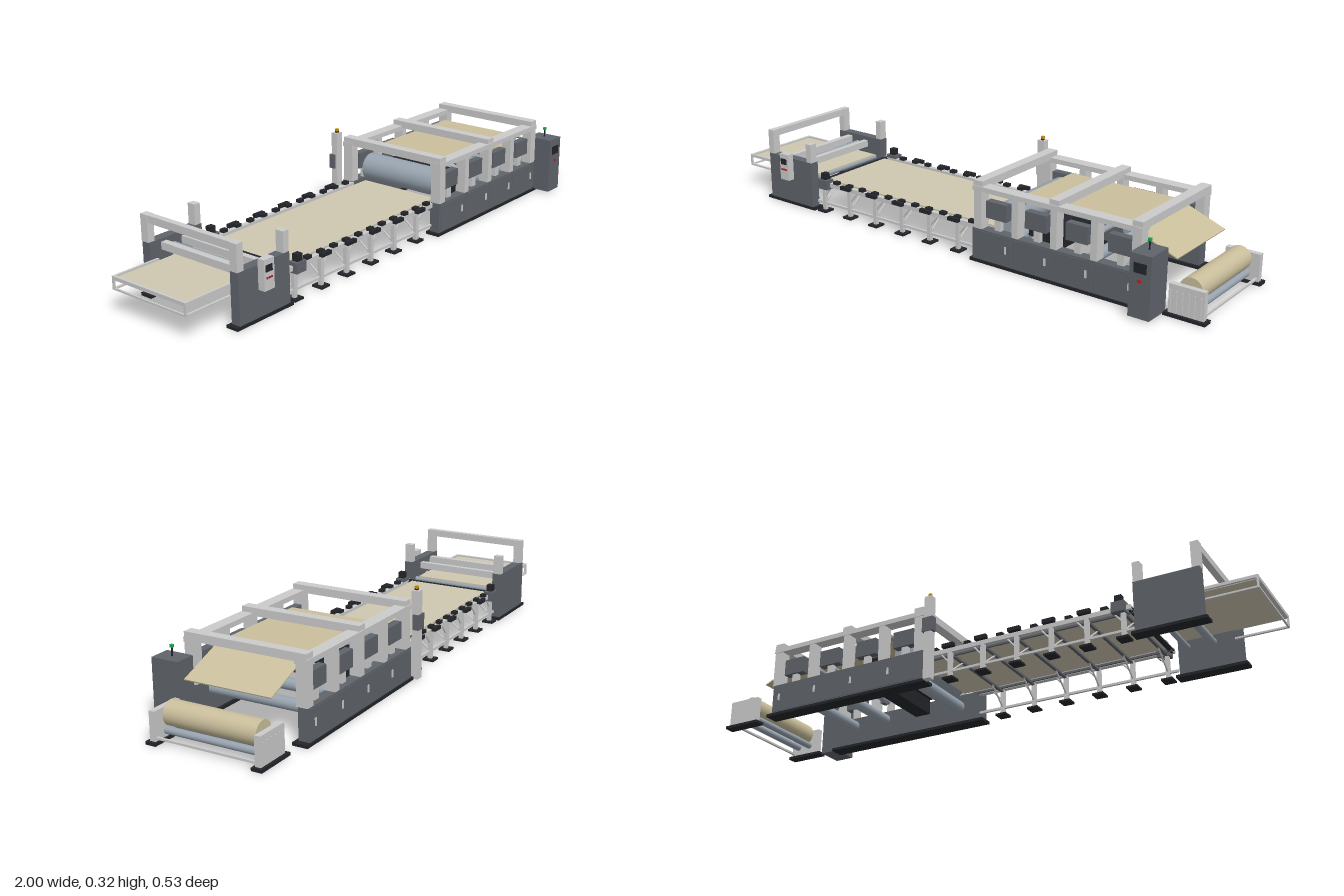
import * as THREE from 'three';

const mat = (color, side = THREE.FrontSide) => new THREE.MeshStandardMaterial({ color, side });
const LIGHT = mat(0xcccccc), STEEL = mat(0x5f646b), DARK = mat(0x23252a), ROLL = mat(0x98a4b0);
const SHEET = mat(0xcfc7b1), FILM = mat(0xcabf9c, THREE.DoubleSide), RED = mat(0xc02020), GREEN = mat(0x18b050), AMBER = mat(0xd09010);
const ZC = -0.024; // centre line of the whole production line

export function createModel() {
  const root = new THREE.Group();
  let group = root;
  const section = (name) => { group = new THREE.Group(); group.name = name; root.add(group); };
  const add = (name, geo, m) => {
    const mesh = new THREE.Mesh(geo, m);
    mesh.name = name;
    group.add(mesh);
    return mesh;
  };
  // box given by its minimum and maximum on each axis
  const box = (name, x0, x1, y0, y1, z0, z1, m = LIGHT) => {
    const b = add(name, new THREE.BoxGeometry(x1 - x0, y1 - y0, z1 - z0), m);
    b.position.set((x0 + x1) / 2, (y0 + y1) / 2, (z0 + z1) / 2);
    return b;
  };
  // the same box on both sides of the line; distances measured outward from the centre line
  const pair = (name, x0, x1, y0, y1, d0, d1, m) => {
    box(name, x0, x1, y0, y1, ZC + d0, ZC + d1, m);
    box(name, x0, x1, y0, y1, ZC - d1, ZC - d0, m);
  };
  // roller across the line
  const roller = (name, x, y, r, half, m = ROLL) => {
    const c = add(name, new THREE.CylinderGeometry(r, r, half * 2, 32), m);
    c.rotation.x = Math.PI / 2;
    c.position.set(x, y, ZC);
  };
  // thin strut between two points
  const strut = (name, a, b, r, m = LIGHT) => {
    const p = new THREE.Vector3(...a), q = new THREE.Vector3(...b);
    const s = add(name, new THREE.CylinderGeometry(r, r, p.distanceTo(q), 8), m);
    s.position.copy(p).add(q).multiplyScalar(0.5);
    s.quaternion.setFromUnitVectors(new THREE.Vector3(0, 1, 0), q.sub(p).normalize());
  };

  // Delivery table at the far end
  section('deliveryTable');
  box('tableSheet', -0.99, -0.63, 0.118, 0.124, ZC - 0.15, ZC + 0.15, SHEET);
  pair('tableTopRail', -1, -0.82, 0.12, 0.13, 0.15, 0.158);
  pair('tableLowRail', -1, -0.82, 0.086, 0.092, 0.15, 0.158);
  pair('tableEndPost', -1, -0.994, 0.086, 0.13, 0.15, 0.158);
  box('tableEndBar', -1, -0.99, 0.118, 0.13, ZC - 0.155, ZC + 0.155);
  box('tableLowBar', -1, -0.994, 0.086, 0.092, ZC - 0.155, ZC + 0.155);

  // Cutting station
  section('cuttingStation');
  pair('cutterBase', -0.85, -0.605, 0, 0.01, 0.165, 0.21, DARK);
  pair('cutterCabinet', -0.835, -0.617, 0.01, 0.18, 0.172, 0.206, STEEL);
  pair('cutterTallPost', -0.838, -0.812, 0.18, 0.27, 0.175, 0.205);
  pair('cutterShortPost', -0.642, -0.618, 0.18, 0.25, 0.175, 0.205);
  box('cutterTopBeam', -0.836, -0.814, 0.245, 0.27, ZC - 0.18, ZC + 0.18);
  box('cutterBladeBeam', -0.79, -0.767, 0.145, 0.17, ZC - 0.175, ZC + 0.175);
  box('cutterGuideBeam', -0.705, -0.685, 0.14, 0.165, ZC - 0.175, ZC + 0.175);
  roller('pinchRollerUpper', -0.738, 0.142, 0.014, 0.175);
  roller('pinchRollerLower', -0.738, 0.103, 0.014, 0.175);
  roller('cutterShaft', -0.65, 0.105, 0.01, 0.175);
  box('cutterPanel', -0.754, -0.711, 0.1, 0.2, 0.182, 0.208);
  box('cutterScreen', -0.748, -0.72, 0.16, 0.182, 0.208, 0.21, DARK);
  for (const x of [-0.743, -0.733, -0.723]) box('cutterButton', x - 0.003, x + 0.003, 0.138, 0.144, 0.208, 0.211, RED);

  // Cooling conveyor
  section('coolingConveyor');
  box('conveyorSheet', -0.6, 0.2, 0.108, 0.114, ZC - 0.157, ZC + 0.157, SHEET);
  pair('conveyorRail', -0.6, 0.15, 0.1, 0.116, 0.172, 0.19);
  pair('conveyorInnerRail', -0.6, 0.15, 0.098, 0.106, 0.157, 0.164, STEEL);
  pair('conveyorLowRail', -0.61, 0.15, 0.028, 0.036, 0.178, 0.186);
  for (let i = 0; i < 6; i++) {
    const x = -0.573 + i * 0.1257;
    pair('conveyorLeg', x - 0.007, x + 0.007, 0.006, 0.1, 0.176, 0.19);
    pair('conveyorFoot', x - 0.02, x + 0.02, 0, 0.007, 0.162, 0.204, DARK);
    box('crossTie', x - 0.005, x + 0.005, 0.092, 0.1, ZC - 0.18, ZC + 0.18, STEEL);
    for (const s of [-1, 1]) {
      strut('legBrace', [x, 0.035, ZC + s * 0.18], [x, 0.096, ZC + s * 0.1], 0.003);
      strut('sideBrace', [x, 0.06, ZC + s * 0.182], [x + 0.035, 0.1, ZC + s * 0.182], 0.003);
    }
  }
  for (let i = 0; i < 11; i++) {
    const x = -0.51 + i * 0.0625;
    pair('railClamp', x - 0.011, x + 0.011, 0.116, 0.127, 0.174, 0.192, DARK);
    if (i % 2) pair('clampHandle', x - 0.022, x + 0.022, 0.112, 0.125, 0.196, 0.211, DARK);
  }
  roller('conveyorEndShaft', -0.592, 0.108, 0.009, 0.18, DARK);
  pair('driveMotor', -0.585, -0.54, 0.092, 0.128, 0.172, 0.206, STEEL);
  pair('driveMotorCap', -0.574, -0.551, 0.128, 0.152, 0.178, 0.2, DARK);

  // Forming machine cabinets
  section('formingMachine');
  pair('machineBase', 0.135, 0.795, 0, 0.01, 0.17, 0.224, DARK);
  pair('machineCabinet', 0.145, 0.775, 0.01, 0.117, 0.18, 0.219, STEEL);
  for (let i = 0; i < 4; i++) {
    const x = 0.15 + i * 0.155;
    pair('cabinetDoor', x + 0.004, x + 0.151, 0.016, 0.112, 0.219, 0.221, STEEL);
    pair('doorHandle', x + 0.128, x + 0.135, 0.055, 0.08, 0.221, 0.224, LIGHT);
    const c = 0.232 + i * 0.156;
    pair('driveBox', c - 0.041, c + 0.041, 0.157, 0.216, 0.178, 0.206, STEEL);
    pair('driveBoxStem', c - 0.012, c + 0.012, 0.117, 0.157, 0.182, 0.198, LIGHT);
  }
  // open frame above the cabinets
  for (let i = 0; i < 5; i++) {
    const x = 0.165 + i * 0.15, w = i % 4 ? 0.012 : 0.016;
    pair('framePost', x - w, x + w, 0.117, 0.25, 0.178, 0.217);
    if (i % 2 === 0) box('frameCrossBeam', x - 0.018, x + 0.018, 0.256, 0.283, ZC - 0.216, ZC + 0.216);
  }
  pair('frameTopRail', 0.145, 0.783, 0.248, 0.265, 0.175, 0.219);
  // rollers and heater inside
  roller('coolingDrum', 0.242, 0.158, 0.05, 0.165);
  roller('drumShaft', 0.242, 0.158, 0.01, 0.18);
  roller('lowDrum', 0.24, 0.07, 0.025, 0.18);
  roller('guideRollerTop', 0.31, 0.224, 0.009, 0.175);
  roller('guideRollerExit', 0.7, 0.224, 0.009, 0.175);
  roller('guideRollerMiddle', 0.55, 0.155, 0.01, 0.18);
  roller('lowRoller', 0.56, 0.085, 0.02, 0.18);
  roller('lowRoller', 0.7, 0.085, 0.02, 0.18);
  const heater = new THREE.Shape([[0.33, 0.115], [0.422, 0.115], [0.412, 0.155], [0.395, 0.165], [0.35, 0.165], [0.335, 0.155]].map(p => new THREE.Vector2(...p)));
  add('heaterHead', new THREE.ExtrudeGeometry(heater, { depth: 0.32, bevelEnabled: false }), DARK).position.z = ZC - 0.16;
  box('heaterBody', 0.35, 0.41, 0.06, 0.115, ZC - 0.16, ZC + 0.16, DARK);

  // Film running over the top and down to the supply side
  const film = (name, a, b) => {
    const m = add(name, new THREE.BoxGeometry(Math.hypot(b[0] - a[0], b[1] - a[1]), 0.004, 0.307), FILM);
    m.position.set((a[0] + b[0]) / 2, (a[1] + b[1]) / 2, ZC);
    m.rotation.z = Math.atan2(b[1] - a[1], b[0] - a[0]);
  };
  film('topFilm', [0.288, 0.234], [0.702, 0.234]);
  film('slopingFilm', [0.7, 0.234], [0.87, 0.168]);

  // Signal post
  section('signalPost');
  box('signalColumn', 0.102, 0.13, 0, 0.306, -0.26, -0.235);
  box('signalBox', 0.094, 0.136, 0.173, 0.225, -0.264, -0.242, STEEL);
  box('signalLampBase', 0.111, 0.121, 0.306, 0.311, -0.251, -0.241, DARK);
  box('signalLamp', 0.111, 0.121, 0.311, 0.32, -0.251, -0.241, AMBER);

  // Operator console
  section('operatorConsole');
  box('consoleCabinet', 0.782, 0.856, 0.006, 0.212, 0.163, 0.26, STEEL);
  box('consoleScreen', 0.797, 0.84, 0.152, 0.184, 0.26, 0.262, DARK);
  box('stopButton', 0.812, 0.824, 0.122, 0.132, 0.26, 0.264, RED);
  box('consoleStalk', 0.817, 0.821, 0.212, 0.24, 0.209, 0.213, DARK);
  box('consoleLamp', 0.814, 0.824, 0.24, 0.249, 0.206, 0.216, GREEN);

  // Unwind stand with the supply roll
  section('unwindStand');
  pair('standBase', 0.855, 0.998, 0, 0.01, 0.167, 0.204, DARK);
  pair('standPanel', 0.868, 0.988, 0.01, 0.104, 0.174, 0.194);
  for (let i = 0; i < 6; i++) {
    const x = 0.875 + i * 0.0205;
    pair('standRib', x - 0.002, x + 0.002, 0.014, 0.085, 0.194, 0.198);
  }
  roller('supplyRoll', 0.925, 0.085, 0.04, 0.162, FILM);
  roller('rollShaft', 0.925, 0.085, 0.009, 0.175);
  roller('supportRoller', 0.9, 0.038, 0.012, 0.162);
  roller('supportRoller', 0.95, 0.038, 0.012, 0.162);
  box('standCrossBar', 0.975, 0.983, 0.016, 0.023, ZC - 0.176, ZC + 0.176);

  return root;
}
